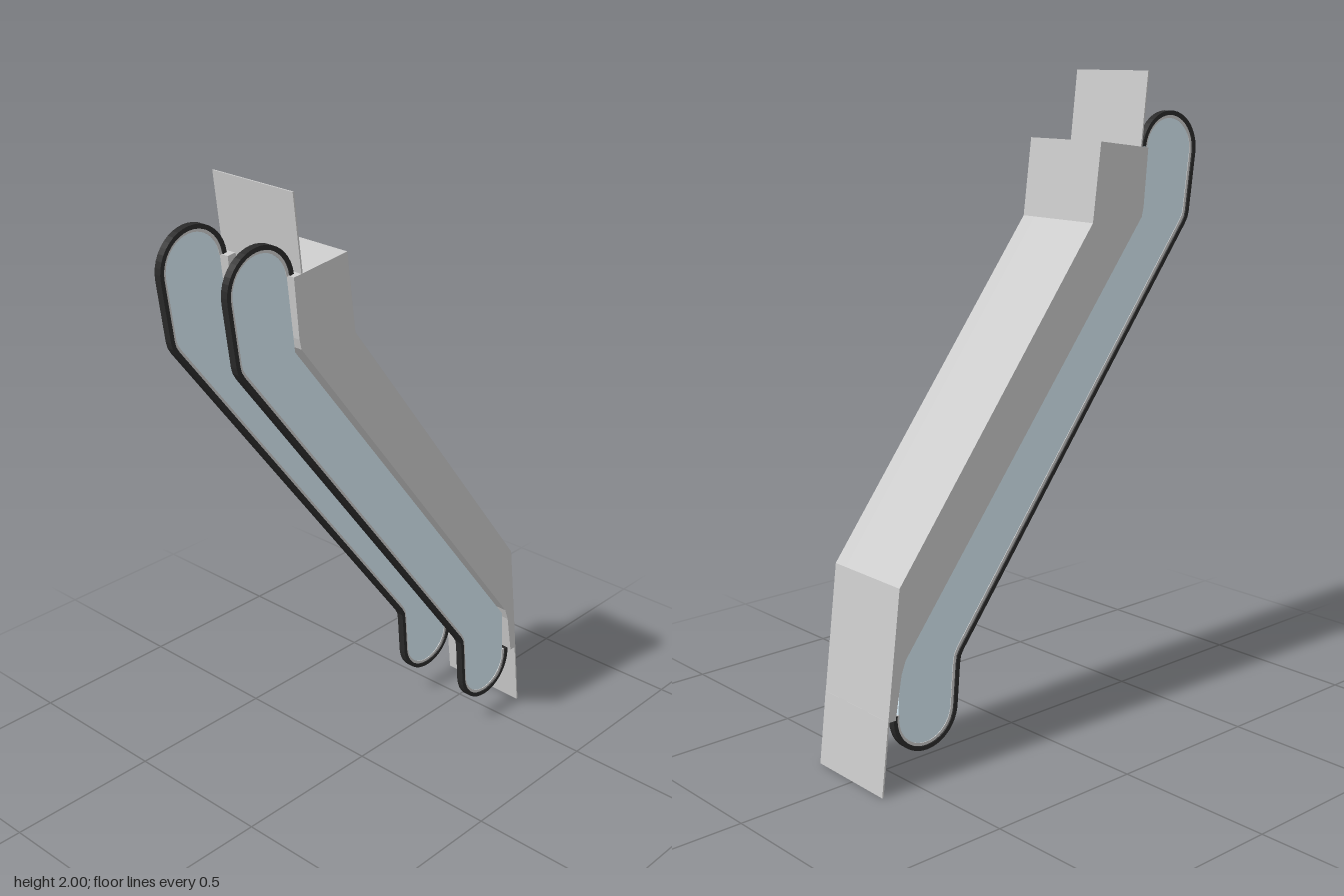
import * as THREE from 'three';

const grey = new THREE.MeshStandardMaterial({ color: 0xcccccc, flatShading: true });
const black = new THREE.MeshStandardMaterial({ color: 0x2a2a2a });
const glass = new THREE.MeshStandardMaterial({ color: 0xd9ecf6 });

// Extrude a side profile of [z, y] points across x, centred on x
function slab(name, pts, width, x, material) {
  const shape = new THREE.Shape(pts.map(([z, y]) => new THREE.Vector2(z, y)));
  const geo = new THREE.ExtrudeGeometry(shape, { depth: width, bevelEnabled: false });
  geo.translate(0, 0, -width / 2).rotateY(-Math.PI / 2);
  const mesh = new THREE.Mesh(geo, material);
  mesh.name = name;
  mesh.position.x = x;
  return mesh;
}

// Points on an arc from angle a to angle b, in degrees
function arc(cz, cy, r, a, b, n = 20) {
  return Array.from({ length: n + 1 }, (_, i) => {
    const t = THREE.MathUtils.degToRad(a + (b - a) * i / n);
    return [cz + r * Math.cos(t), cy + r * Math.sin(t)];
  });
}

// Shift an open path to its right by d, with mitred corners
function inset(path, d) {
  const normal = (a, b) => new THREE.Vector2(b[1] - a[1], a[0] - b[0]).normalize();
  return path.map((p, i) => {
    const n1 = normal(path[Math.max(i - 1, 0)], path[Math.max(i, 1)]);
    const last = path.length - 1;
    const n2 = normal(path[Math.min(i, last - 1)], path[Math.min(i + 1, last)]);
    const m = n1.clone().add(n2).normalize();
    const k = d / m.dot(n1);
    return [p[0] + m.x * k, p[1] + m.y * k];
  });
}

const strip = (path, a, b) => [...inset(path, a), ...inset(path, b).reverse()];

// Floor planes of the two landings
const lowFloor = y => -0.62 + 0.115 * y;
const highFloor = y => 0.17 + 0.115 * y;

export function createModel() {
  const model = new THREE.Group();
  model.name = 'escalator';

  // Outer edge of the handrail: upper end, long run, lower end
  const railPath = [
    ...arc(0.51, 1.765, 0.116, 172.5, -7.5),
    [0.602, 1.575], [0.597, 1.555], [0.585, 1.535],
    [-0.31, 0.365], [-0.32, 0.348], [-0.324, 0.325],
    ...arc(-0.45, 0.21, 0.116, -7.5, -187.5),
  ];

  // Underside of the truss, from top to bottom
  const back = [[0.21, 1.80], [0.18, 1.565], [-0.547, 0.605], [-0.594, 0.22]];
  const flank = [[-0.568, 0.22], [-0.545, 0.35], [-0.53, 0.39], [0.383, 1.57], [0.39, 1.6], [0.406, 1.775], ...back];

  // Balustrades, mirrored left and right
  for (const [side, s] of [['left', 1], ['right', -1]]) {
    const balustrade = new THREE.Group();
    balustrade.name = side + 'Balustrade';
    balustrade.add(
      slab('trussSide', flank, 0.05, s * 0.128, grey),
      slab('handrail', strip(railPath, 0, 0.013), 0.023, s * 0.13, black),
      slab('railFrame', strip(railPath, 0.012, 0.022), 0.014, s * 0.13, grey),
      slab('glassPanel', [...inset(railPath, 0.02), [-0.535, 0.37], [0.39, 1.56]], 0.01, s * 0.13, glass),
    );
    model.add(balustrade);
  }

  // Steps between the landings, closed by the truss underside
  const count = 16, first = 0.41, pitch = 0.082, rise = 0.79 / count;
  const steps = [[lowFloor(0.22) + 0.004, 0.22]];
  for (let i = 0; i < count; i++) {
    const y = first + i * pitch;
    steps.push([lowFloor(y) + Math.max(i * rise, 0.004), y]);
    steps.push([lowFloor(y) + (i + 1) * rise, y - 0.0055]);
  }
  steps.push([highFloor(1.778), 1.778], ...back);
  model.add(slab('steps', steps, 0.208, 0, grey));

  // Thin floor plates beyond each end
  const plate = (name, floor, y0, y1, width) => {
    const t = 0.005;
    model.add(slab(name, [[floor(y0), y0], [floor(y0) + t, y0], [floor(y1) + t, y1], [floor(y1), y1]], width, 0, grey));
  };
  plate('lowerFloorPlate', lowFloor, 0, 0.222, 0.306);
  plate('lowerCombPlate', y => lowFloor(y) + 0.002, 0.22, 0.265, 0.206);
  plate('upperFloorPlate', highFloor, 1.776, 2, 0.306);
  plate('upperCombPlate', y => highFloor(y) - 0.003, 1.74, 1.778, 0.206);

  // Slight turn about the vertical
  model.rotation.y = -0.024;
  model.position.x = -0.004;
  const root = new THREE.Group();
  root.add(model);
  return root;
}
